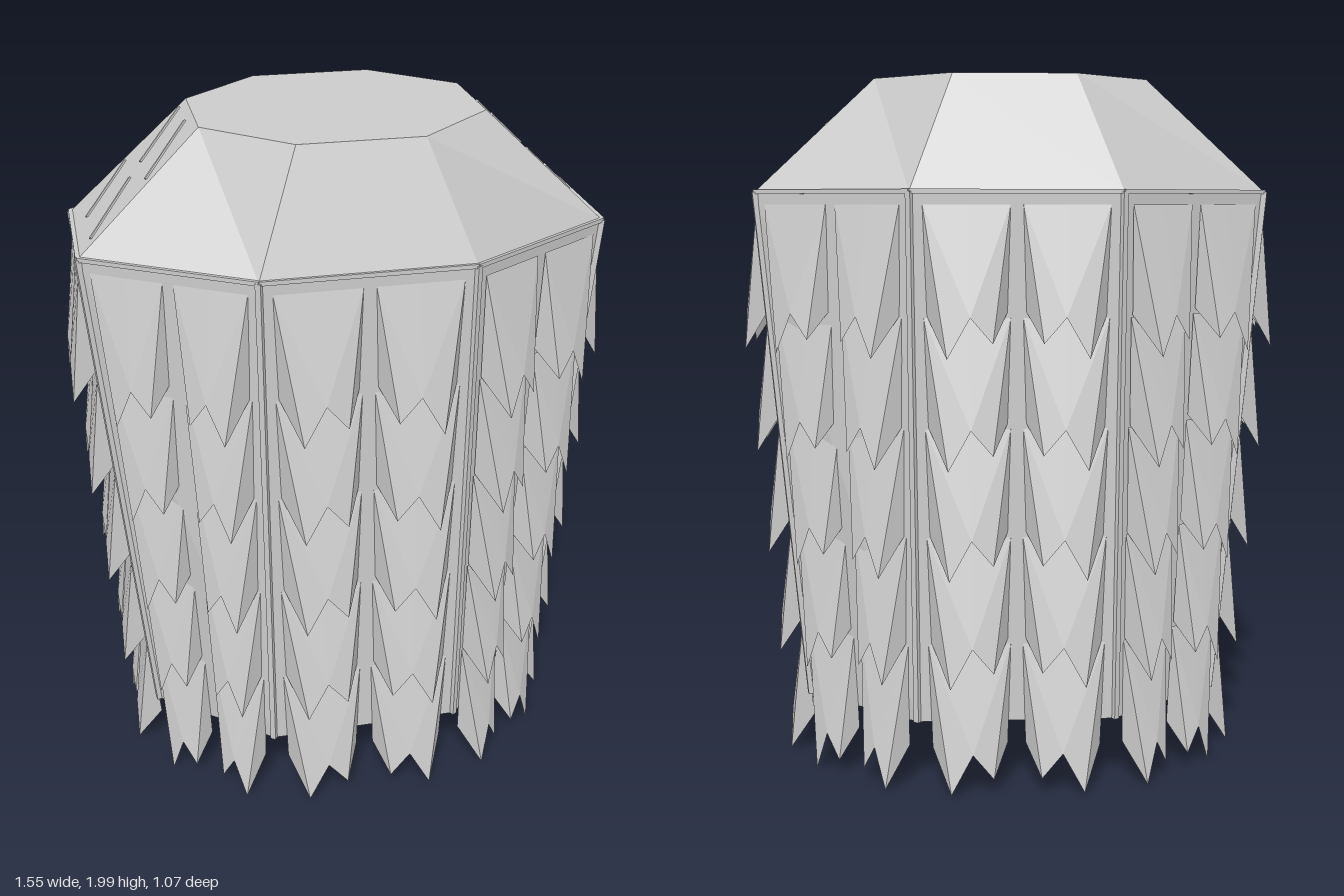
import * as THREE from 'three';

const material = new THREE.MeshStandardMaterial({ color: 0xcccccc, flatShading: true, side: THREE.DoubleSide });
const V = (x, y, z) => new THREE.Vector3(x, y, z);

// Eight-sided ring, counter-clockwise from above, starting at the front face
function ring(y, frontX, frontZ, sideX, sideZ) {
  return [[-frontX, frontZ], [frontX, frontZ], [sideX, sideZ], [sideX, -sideZ],
    [frontX, -frontZ], [-frontX, -frontZ], [-sideX, -sideZ], [-sideX, sideZ]].map(([x, z]) => V(x, y, z));
}

function meshFromTriangles(name, points) {
  const geometry = new THREE.BufferGeometry().setFromPoints(points);
  geometry.computeVertexNormals();
  const mesh = new THREE.Mesh(geometry, material);
  mesh.name = name;
  return mesh;
}

// Wall panel between two rings: point (u across, v down) raised off the surface
function panel(upper, lower, i) {
  const j = (i + 1) % 8;
  const a = upper[i], b = upper[j], c = lower[i], d = lower[j];
  const across = b.clone().sub(a).normalize();
  const down = c.clone().add(d).sub(a).sub(b).normalize();
  const normal = down.clone().cross(across).normalize();
  const at = (u, v, lift = 0) => a.clone().lerp(b, u)
    .lerp(c.clone().lerp(d, u), v).addScaledVector(normal, lift);
  return { at, normal };
}

// Thin bar lying along a panel
function bar(name, from, to, width, normal) {
  const axis = to.clone().sub(from);
  const mesh = new THREE.Mesh(new THREE.BoxGeometry(width, axis.length(), width), material);
  const y = axis.clone().normalize();
  const x = y.clone().cross(normal).normalize();
  mesh.quaternion.setFromRotationMatrix(new THREE.Matrix4().makeBasis(x, y, x.clone().cross(y)));
  mesh.position.copy(from).add(to).multiplyScalar(0.5);
  mesh.name = name;
  return mesh;
}

export function createModel() {
  const model = new THREE.Group();
  model.name = 'spikedBody';
  const top = ring(2, 0.17, 0.34, 0.39, 0.14);
  const shoulder = ring(1.68, 0.29, 0.45, 0.73, 0.19);
  const base = ring(0.2, 0.28, 0.45, 0.6, 0.19);

  // Solid core with sloping shoulders and flat ends
  const core = [];
  for (let i = 0; i < 8; i++) {
    const j = (i + 1) % 8;
    for (const [u, l] of [[top, shoulder], [shoulder, base]]) {
      core.push(u[i], l[i], l[j], u[i], l[j], u[j]);
    }
    core.push(V(0, 2, 0), top[i], top[j], V(0, 0.2, 0), base[j], base[i]);
  }
  model.add(meshFromTriangles('core', core));

  // Overlapping two-pronged spikes, two columns on each wall
  const rows = 5, wallHeight = 1.48, rowStep = 0.305, length = 0.41;
  for (let i = 0; i < 8; i++) {
    const { at } = panel(shoulder, base, i);
    const spikes = [];
    for (let column = 0; column < 2; column++) {
      for (let row = 0; row < rows; row++) {
        const v0 = (0.035 + row * rowStep) / wallHeight;
        const side = column ? 1 : -1;
        const mid = 0.5 + side * 0.235;
        const p = (s, drop, lift) => at(mid + side * s, v0 + drop / wallHeight, lift);
        const lift = 0.085;
        const inTop = p(-0.205, 0, 0.002), outTop = p(0.205, 0, 0.002), midTop = p(0, 0, 0.003);
        const inTip = p(-0.115, length - 0.04, lift - 0.01), outTip = p(0.1, length, lift);
        const notch = p(-0.01, length - 0.11, lift - 0.012);
        const inWall = p(-0.19, length - 0.12, 0), outWall = p(0.19, length - 0.11, 0);
        const faces = [
          [inTop, inTip, notch], [inTop, notch, midTop],
          [midTop, notch, outTop], [notch, outTip, outTop],
          [inTop, inWall, inTip], [outTop, outTip, outWall],
          [inWall, notch, inTip], [inWall, outWall, notch], [outWall, outTip, notch],
        ];
        for (const [a, b, c] of faces) {
          if (side > 0) spikes.push(a, b, c);
          else spikes.push(a, c, b);
        }
      }
    }
    model.add(meshFromTriangles('spikePanel', spikes));
  }

  // Slim ribs along the corners and the shoulder edge
  for (let i = 0; i < 8; i++) {
    const j = (i + 1) % 8;
    const out = V(shoulder[i].x, 0, shoulder[i].z).normalize();
    model.add(bar('cornerRib', shoulder[i], base[i], 0.016, out));
    model.add(bar('shoulderRib', shoulder[i], shoulder[j], 0.012, V(0, 1, 0)));
  }

  // Fine diagonal ridges on the sloping end panels
  for (const i of [2, 6]) {
    const { at, normal } = panel(top, shoulder, i);
    for (const u of [0.08, 0.54]) {
      for (const v of [0.06, 0.52]) {
        model.add(bar('shoulderRidge', at(u, v), at(u + 0.36, v + 0.36), 0.009, normal));
      }
    }
  }
  return model;
}
